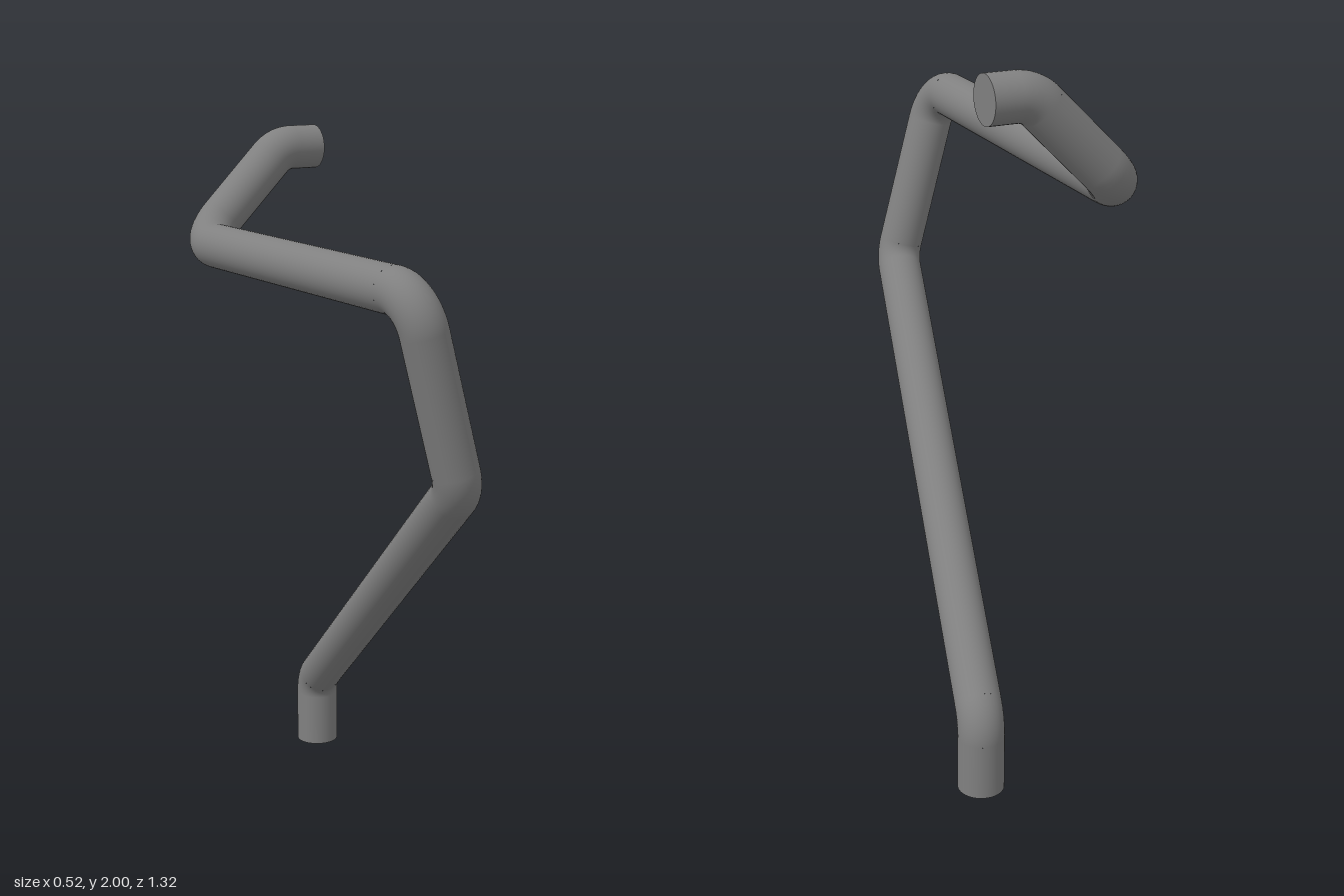
import * as THREE from 'three';

const RADIUS = 0.065; // pipe radius
const BEND = 0.1;     // centreline bend radius
const SIDES = 40;

// Circular arc that rounds the corner between two straight runs
class BendCurve extends THREE.Curve {
  constructor(start, dirIn, dirOut, radius) {
    super();
    this.start = start;
    this.dirIn = dirIn;
    this.radius = radius;
    this.angle = dirIn.angleTo(dirOut);
    this.inward = dirOut.clone().addScaledVector(dirIn, -dirOut.dot(dirIn)).normalize();
  }
  getPoint(t, target = new THREE.Vector3()) {
    const a = t * this.angle;
    return target.copy(this.start)
      .addScaledVector(this.dirIn, this.radius * Math.sin(a))
      .addScaledVector(this.inward, this.radius * (1 - Math.cos(a)));
  }
}

export function createModel() {
  const group = new THREE.Group();
  group.name = 'bentPipe';
  const metal = new THREE.MeshStandardMaterial({ color: 0x808080 });
  metal.name = 'grey metal';

  const add = (geometry, name) => {
    const mesh = new THREE.Mesh(geometry, metal);
    mesh.name = name;
    group.add(mesh);
    return mesh;
  };

  // Corners of the centreline, from the foot to the upper end
  const corners = [
    [0.194, 0, -0.596],
    [0.194, 0.21, -0.596],
    [-0.058, 1.151, 0.596],
    [-0.196, 1.667, 0.596],
    [-0.196, 1.667, -0.596],
    [0.072, 1.935, -0.596],
    [0.194, 1.935, -0.596],
  ].map((p) => new THREE.Vector3(...p));
  const last = corners.length - 1;
  const dirs = corners.slice(1).map((p, i) => p.clone().sub(corners[i]).normalize());

  // Straight runs, each followed by a bend
  let from = corners[0];
  for (let i = 0; i < last; i++) {
    let to = corners[last];
    let bend = null;
    if (i < last - 1) {
      const cut = BEND * Math.tan(dirs[i].angleTo(dirs[i + 1]) / 2);
      to = corners[i + 1].clone().addScaledVector(dirs[i], -cut);
      bend = new BendCurve(to, dirs[i], dirs[i + 1], BEND);
    }
    add(new THREE.TubeGeometry(new THREE.LineCurve3(from, to), 1, RADIUS, SIDES), `straightRun${i + 1}`);
    if (bend) {
      add(new THREE.TubeGeometry(bend, 14, RADIUS, SIDES), `bend${i + 1}`);
      from = bend.getPoint(1);
    }
  }

  // Flat end caps
  const cap = (position, outward, name) => {
    const mesh = add(new THREE.CircleGeometry(RADIUS, SIDES), name);
    mesh.position.copy(position);
    mesh.quaternion.setFromUnitVectors(new THREE.Vector3(0, 0, 1), outward);
  };
  cap(corners[0], dirs[0].clone().negate(), 'footCap');
  cap(corners[last], dirs[last - 1], 'topCap');

  return group;
}
